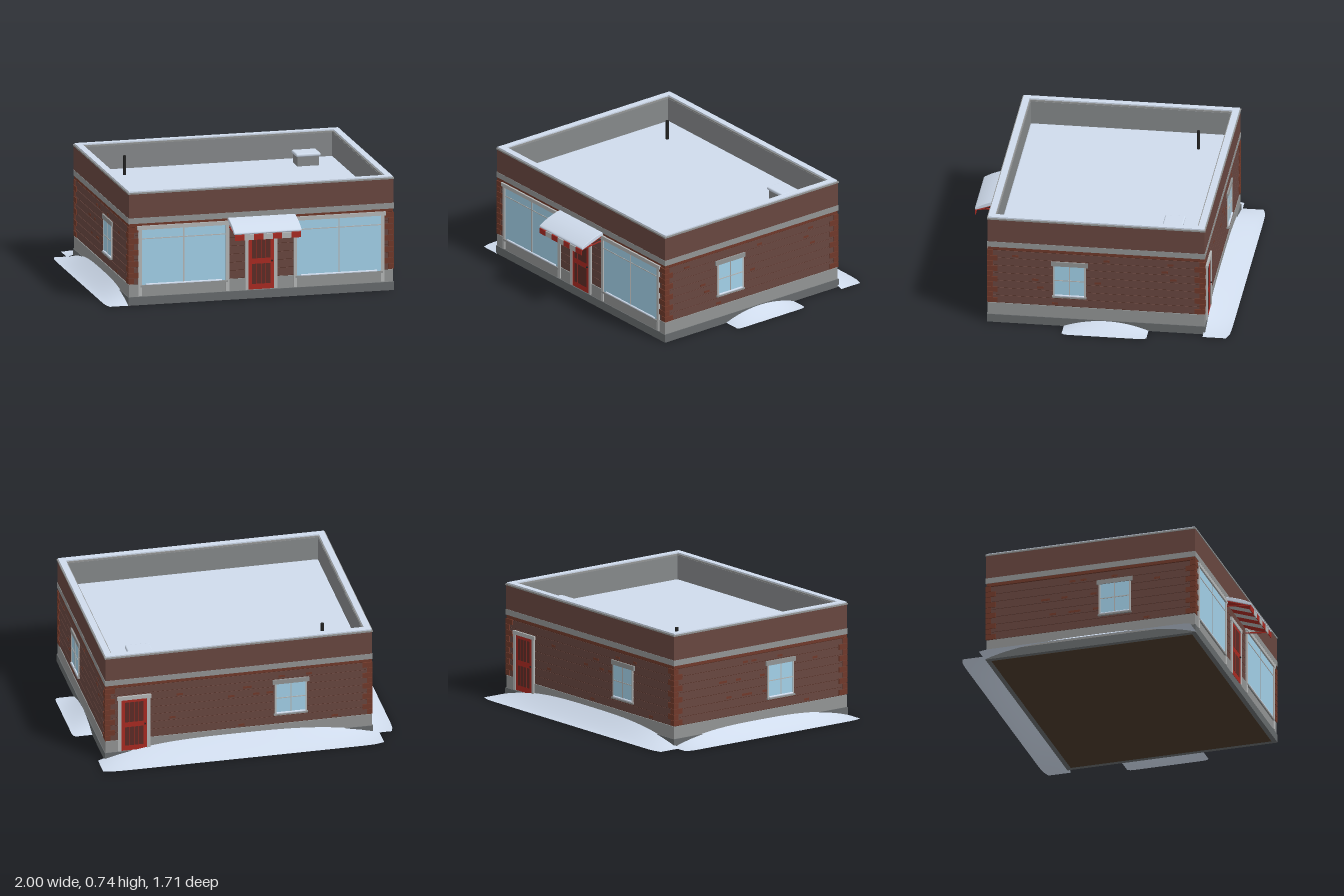
import * as THREE from 'three';
import { RoundedBoxGeometry } from 'three/addons/geometries/RoundedBoxGeometry.js';

// Wall core: centre and half sizes
const CX = 0.0075, CZ = -0.005, HX = 0.857, HZ = 0.685;

const mat = (color, opts = {}) => new THREE.MeshStandardMaterial({ color, ...opts });
const M = {
  brick: mat(0x68463f), quoin: mat(0x70392a), chip: mat(0x4e2a20), stone: mat(0x929494),
  plinth: mat(0x666a6c), trim: mat(0xb4b6b6), red: mat(0xa82a22), panel: mat(0x5c2c26),
  glass: mat(0xa2d0e8), floor: mat(0x4a3a2a), dark: mat(0x222222), inner: mat(0x85888a),
  snow: mat(0xcfdbec), drift: mat(0xcfdbec, { side: THREE.DoubleSide }),
};

function add(parent, name, geometry, material, x = 0, y = 0, z = 0) {
  const mesh = new THREE.Mesh(geometry, material);
  mesh.name = name;
  mesh.position.set(x, y, z);
  parent.add(mesh);
  return mesh;
}

// Box spanning x0..x1, y0..y1, z0..z1
function span(parent, name, material, x0, x1, y0, y1, z0, z1) {
  return add(parent, name, new THREE.BoxGeometry(x1 - x0, y1 - y0, z1 - z0), material,
    (x0 + x1) / 2, (y0 + y1) / 2, (z0 + z1) / 2);
}

// Rectangular ring around the building; out = projection past the core
function ring(parent, name, material, y0, y1, out, thick) {
  const rect = (hx, hz) => [[-hx, -hz], [hx, -hz], [hx, hz], [-hx, hz]].map(p => new THREE.Vector2(...p));
  const shape = new THREE.Shape(rect(HX + out, HZ + out));
  shape.holes.push(new THREE.Path(rect(HX + out - thick, HZ + out - thick)));
  const g = new THREE.ExtrudeGeometry(shape, { depth: y1 - y0, bevelEnabled: false }).rotateX(-Math.PI / 2);
  return add(parent, name, g, material, CX, y0, CZ);
}

// Group on one wall: local z points outward, local x runs along the wall
function wall(parent, name, angle) {
  const g = new THREE.Group();
  g.name = name;
  g.position.set(CX + Math.sin(angle) * HX, 0, CZ + Math.cos(angle) * HZ);
  g.rotation.y = angle;
  parent.add(g);
  return g;
}

// Named group shifted along a wall
function unit(parent, name, x) {
  const g = new THREE.Group();
  g.name = name;
  g.position.x = x;
  parent.add(g);
  return g;
}

function smallWindow(parent, x) {
  const g = unit(parent, 'smallWindow', x);
  span(g, 'glass', M.glass, -0.1, 0.1, 0.21, 0.42, 0, 0.008);
  for (const s of [-1, 1]) span(g, 'frameSide', M.trim, s * 0.1 - 0.005, s * 0.1 + 0.005, 0.21, 0.42, 0, 0.011);
  span(g, 'mullion', M.trim, -0.003, 0.003, 0.21, 0.42, 0, 0.011);
  span(g, 'transom', M.trim, -0.1, 0.1, 0.317, 0.323, 0, 0.011);
  span(g, 'lintel', M.stone, -0.118, 0.118, 0.42, 0.45, 0, 0.013);
  span(g, 'sill', M.stone, -0.11, 0.11, 0.2, 0.21, 0, 0.018);
  add(g, 'sillSnow', new RoundedBoxGeometry(0.19, 0.012, 0.016, 2, 0.005), M.snow, 0, 0.214, 0.009);
}

function shopWindow(parent, x) {
  const g = unit(parent, 'shopWindow', x);
  span(g, 'glass', M.glass, -0.285, 0.285, 0.13, 0.49, 0, 0.007);
  for (const s of [-1, 1]) span(g, 'post', M.trim, s * 0.285 - 0.011, s * 0.285 + 0.011, 0.06, 0.49, 0, 0.014);
  span(g, 'mullion', M.trim, -0.004, 0.004, 0.13, 0.49, 0, 0.01);
  span(g, 'transom', M.trim, -0.28, 0.28, 0.427, 0.433, 0, 0.01);
  span(g, 'lintel', M.trim, -0.305, 0.305, 0.49, 0.515, 0, 0.018);
  span(g, 'sill', M.stone, -0.285, 0.285, 0.118, 0.13, 0, 0.016);
  add(g, 'sillSnow', new RoundedBoxGeometry(0.5, 0.014, 0.014, 2, 0.006), M.snow, 0, 0.132, 0.009);
}

function door(parent, x) {
  const g = unit(parent, 'door', x);
  span(g, 'leaf', M.red, -0.082, 0.082, 0.06, 0.42, 0, 0.01);
  for (const [y0, y1] of [[0.095, 0.225], [0.26, 0.4]]) {
    span(g, 'panel', M.panel, -0.06, 0.06, y0, y1, 0, 0.011);
    for (let i = -1; i <= 1; i++) span(g, 'panelBar', M.red, i * 0.03 - 0.001, i * 0.03 + 0.001, y0, y1, 0, 0.0118);
  }
  for (const s of [-1, 1]) span(g, 'doorPost', M.trim, s * 0.094 - 0.011, s * 0.094 + 0.011, 0.06, 0.42, 0, 0.014);
  span(g, 'doorHead', M.trim, -0.11, 0.11, 0.42, 0.445, 0, 0.016);
  add(g, 'knob', new THREE.SphereGeometry(0.006, 10, 8), M.dark, 0.07, 0.24, 0.014);
}

// Side profile (z, y) extruded along x between x0 and x1
function profile(parent, name, material, shape, x0, x1, bevel = 0) {
  const g = new THREE.ExtrudeGeometry(shape, {
    depth: x1 - x0 - 2 * bevel, bevelEnabled: bevel > 0, bevelSize: bevel, bevelThickness: bevel, bevelSegments: 3,
  }).rotateY(-Math.PI / 2);
  return add(parent, name, g, material, x1 - bevel, 0, 0);
}

function awning(parent, x) {
  const g = unit(parent, 'awning', x);
  const cloth = new THREE.Shape([[0, 0.508], [0.168, 0.45], [0.168, 0.42], [0.173, 0.42], [0.173, 0.455], [0, 0.515]]
    .map(p => new THREE.Vector2(...p)));
  const w = 0.43 / 7;
  for (let i = 0; i < 7; i++)
    profile(g, 'stripe', i % 2 ? M.trim : M.red, cloth, -0.215 + i * w, -0.215 + (i + 1) * w);
  const snow = new THREE.Shape();
  snow.moveTo(0.005, 0.518);
  snow.lineTo(0.166, 0.461);
  snow.quadraticCurveTo(0.176, 0.466, 0.158, 0.476);
  snow.quadraticCurveTo(0.09, 0.515, 0.005, 0.531);
  profile(g, 'awningSnow', M.snow, snow, -0.22, 0.22, 0.004);
  for (const s of [-1, 1]) {
    const bar = add(g, 'bracket', new THREE.BoxGeometry(0.006, 0.006, 0.172), M.red, s * 0.21, 0.465, 0.086);
    bar.rotation.x = 0.116;
  }
}

// Snow bank: highest at the wall, fading outward and toward both ends
function drift(parent, x, width, depth, height, power) {
  const g = new THREE.PlaneGeometry(width, depth, 32, 10).rotateX(-Math.PI / 2);
  const p = g.attributes.position;
  for (let i = 0; i < p.count; i++) {
    const t = Math.min(1, Math.abs(p.getX(i)) / (width / 2));
    const u = THREE.MathUtils.clamp(p.getZ(i) / depth + 0.5, 0, 1);
    p.setY(i, 0.003 + height * (1 - t ** power) * (1 - u) ** 1.25);
    p.setZ(i, depth * u * (1 - 0.12 * t ** 24));
  }
  g.computeVertexNormals();
  add(parent, 'snowDrift', g, M.drift, x, 0, 0);
}

export function createModel() {
  const model = new THREE.Group();
  model.name = 'shopBuilding';

  // Floor, base courses and wall core
  span(model, 'floor', M.floor, CX - HX + 0.02, CX + HX - 0.02, 0, 0.006, CZ - HZ + 0.02, CZ + HZ - 0.02);
  ring(model, 'plinth', M.plinth, 0.001, 0.055, 0.011, 0.06);
  ring(model, 'baseCourse', M.stone, 0.055, 0.135, 0.006, 0.06);
  ring(model, 'wallCore', M.chip, 0.135, 0.54, 0, 0.05);

  // Wall boards with thin grooves between them
  const rows = 7, pitch = 0.37 / rows;
  for (let i = 0; i < rows; i++)
    ring(model, 'wallCourse', M.brick, 0.138 + i * pitch, 0.138 + (i + 1) * pitch - 0.003, 0.003, 0.02);
  ring(model, 'redCourse', M.quoin, 0.51, 0.53, 0.006, 0.02);
  ring(model, 'stoneBand', M.stone, 0.53, 0.567, 0.009, 0.05);
  ring(model, 'parapet', M.brick, 0.567, 0.722, 0.007, 0.045);
  ring(model, 'parapetLining', M.inner, 0.55, 0.722, -0.035, 0.012);
  ring(model, 'coping', M.stone, 0.722, 0.732, 0.011, 0.056);
  ring(model, 'copingSnow', M.snow, 0.732, 0.74, 0.004, 0.042);

  // Alternating corner blocks
  for (const sx of [-1, 1]) for (const sz of [-1, 1]) for (let i = 0; i < 10; i++) {
    const a = i % 2 ? 0.065 : 0.035, b = i % 2 ? 0.035 : 0.065, h = 0.037;
    add(model, 'cornerBlock', new THREE.BoxGeometry(a, h - 0.003, b), M.quoin,
      CX + sx * (HX + 0.009 - a / 2), 0.138 + (i + 0.5) * h, CZ + sz * (HZ + 0.009 - b / 2));
  }

  // Roof with snow, hatch and pipe
  add(model, 'roofSnow', new RoundedBoxGeometry(2 * HX - 0.08, 0.04, 2 * HZ - 0.08, 3, 0.015), M.snow, CX, 0.55, CZ);
  span(model, 'roofHatch', M.inner, 0.53, 0.67, 0.56, 0.635, -0.52, -0.41);
  add(model, 'hatchSnow', new RoundedBoxGeometry(0.16, 0.022, 0.13, 3, 0.009), M.snow, 0.6, 0.642, -0.465);
  add(model, 'roofPipe', new THREE.CylinderGeometry(0.011, 0.011, 0.13, 12), M.dark, -0.585, 0.63, -0.465);

  const front = wall(model, 'frontWall', 0);
  const back = wall(model, 'backWall', Math.PI);
  const left = wall(model, 'leftWall', Math.PI / 2);
  const right = wall(model, 'rightWall', -Math.PI / 2);

  // Openings
  shopWindow(front, -0.505);
  shopWindow(front, 0.508);
  door(front, 0);
  awning(front, 0.0025);
  door(back, -0.6775);
  smallWindow(back, 0.3375);
  smallWindow(left, -0.17);
  smallWindow(right, 0.16);

  // Scattered bare bricks
  let seed = 7;
  const rand = () => (seed = (seed * 16807) % 2147483647) / 2147483647;
  for (const [side, half] of [[back, 0.74], [left, 0.58], [right, 0.58]])
    for (let i = 0; i < 14; i++) {
      const row = Math.floor(rand() * rows);
      add(side, 'bareBrick', new THREE.BoxGeometry(0.04, 0.014, 0.005), M.quoin,
        (rand() * 2 - 1) * half, 0.138 + (row + 0.3) * pitch, 0.002);
    }

  // Snow banks
  drift(back, 0, 1.82, 0.17, 0.1, 3);
  drift(right, 0, 1.4, 0.15, 0.08, 3);
  drift(left, 0.065, 0.54, 0.135, 0.055, 2);
  return model;
}
